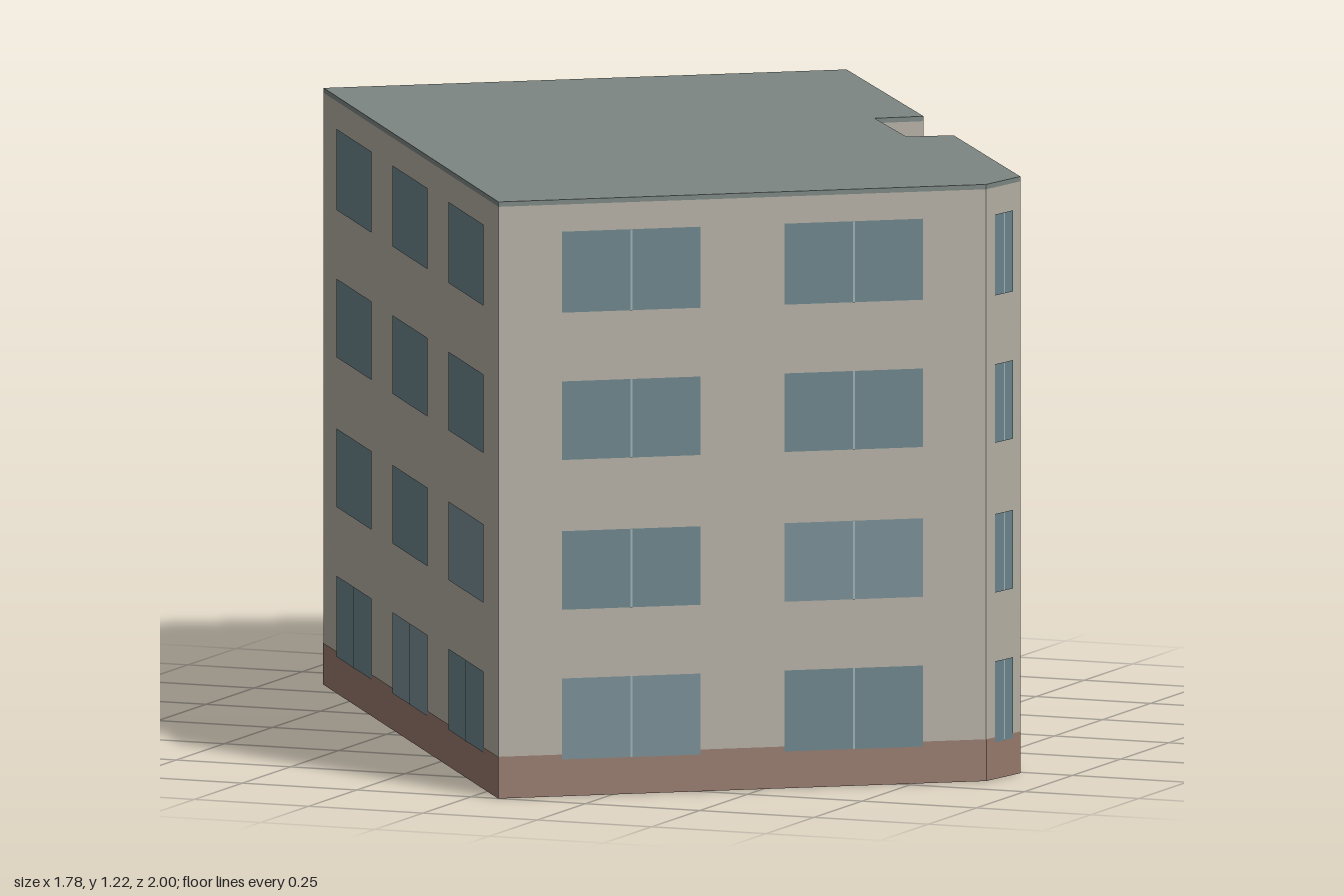
import * as THREE from 'three';

const mat = (color, side = THREE.FrontSide) =>
  new THREE.MeshStandardMaterial({ color, side, roughness: 0.9, flatShading: true });

const HEIGHT = 1.215, ROOF = 0.01, PLINTH = 0.085;

// Window rows as [bottom, top]
const FLOORS = [[0.075, 0.24], [0.38, 0.54], [0.685, 0.845], [0.985, 1.15]];

// Each wall runs from its corner (x, z) to the next one, left to right seen from outside.
// bays: window spans as fractions of the wall; split: number of floors with a centre mullion;
// light: paler panes as 'floor,bay'.
const THREE_BAYS = [[0.08, 0.28], [0.4, 0.6], [0.72, 0.92]];
const TWO_BAYS = [[0.13, 0.414], [0.586, 0.87]];
const WALLS = [
  { name: 'longSideWall', at: [-0.89, -0.35], bays: THREE_BAYS, split: 1, light: ['0,1', '1,2'] },
  { name: 'frontWall', at: [0.06, 1.0], bays: TWO_BAYS, split: 4, light: ['0,0', '1,1'] },
  { name: 'chamferWall', at: [0.87, 0.39], bays: [[0.24, 0.76]], split: 4, light: [] },
  { name: 'frontBayWall', at: [0.89, 0.26], bays: [[0.227, 0.773]], split: 4, light: ['1,0'] },
  { name: 'recessFrontReturn', at: [0.54, -0.225], bays: [], split: 0, light: [] },
  { name: 'recessWall', at: [0.46, -0.17], bays: [[0.25, 0.75]], split: 4, light: [] },
  { name: 'recessBackReturn', at: [0.30, -0.385], bays: [], split: 0, light: [] },
  { name: 'rearBayWall', at: [0.38, -0.45], bays: [[0.22, 0.775]], split: 4, light: ['1,0'] },
  { name: 'backWall', at: [-0.02, -1.0], bays: THREE_BAYS, split: 1, light: [] },
];

export function createModel() {
  const building = new THREE.Group();
  building.name = 'apartmentBlock';

  const wallMat = mat(0xb4afa4, THREE.DoubleSide);
  const plinthMat = mat(0x96796c);
  const glassMat = mat(0x6b848b);
  const paleGlassMat = mat(0x778d93);
  const mullionMat = mat(0x9fb0b3);
  const roofMat = mat(0x7c8683);

  // Flat rectangle in wall coordinates, lifted off the wall by z
  const panel = (parent, name, x0, x1, y0, y1, z, material) => {
    const mesh = new THREE.Mesh(new THREE.PlaneGeometry(x1 - x0, y1 - y0), material);
    mesh.position.set((x0 + x1) / 2, (y0 + y1) / 2, z);
    mesh.name = name;
    parent.add(mesh);
  };

  WALLS.forEach((w, i) => {
    const [x, z] = w.at;
    const [nx, nz] = WALLS[(i + 1) % WALLS.length].at;
    const length = Math.hypot(nx - x, nz - z);

    // Local x runs along the wall, local z points outward
    const wall = new THREE.Group();
    wall.name = w.name;
    wall.position.set(x, 0, z);
    wall.rotation.y = Math.atan2(z - nz, nx - x);
    building.add(wall);

    panel(wall, 'wallSurface', 0, length, 0, HEIGHT - ROOF, 0, wallMat);
    panel(wall, 'plinth', 0, length, 0, PLINTH, 0.001, plinthMat);

    FLOORS.forEach(([y0, y1], floor) => {
      w.bays.forEach(([a, b], bay) => {
        const pale = w.light.includes(`${floor},${bay}`);
        panel(wall, 'window', a * length, b * length, y0, y1, 0.002, pale ? paleGlassMat : glassMat);
        if (floor < w.split) {
          const mid = (a + b) / 2 * length;
          panel(wall, 'mullion', mid - 0.002, mid + 0.002, y0, y1, 0.003, mullionMat);
        }
      });
    });
  });

  // Thin flat roof slab following the footprint
  const outline = new THREE.Shape(WALLS.map(({ at: [x, z] }) => new THREE.Vector2(x, -z)));
  const roofGeo = new THREE.ExtrudeGeometry(outline, { depth: ROOF, bevelEnabled: false });
  roofGeo.rotateX(-Math.PI / 2);
  const roof = new THREE.Mesh(roofGeo, roofMat);
  roof.name = 'roof';
  roof.position.y = HEIGHT - ROOF;
  building.add(roof);

  return building;
}
